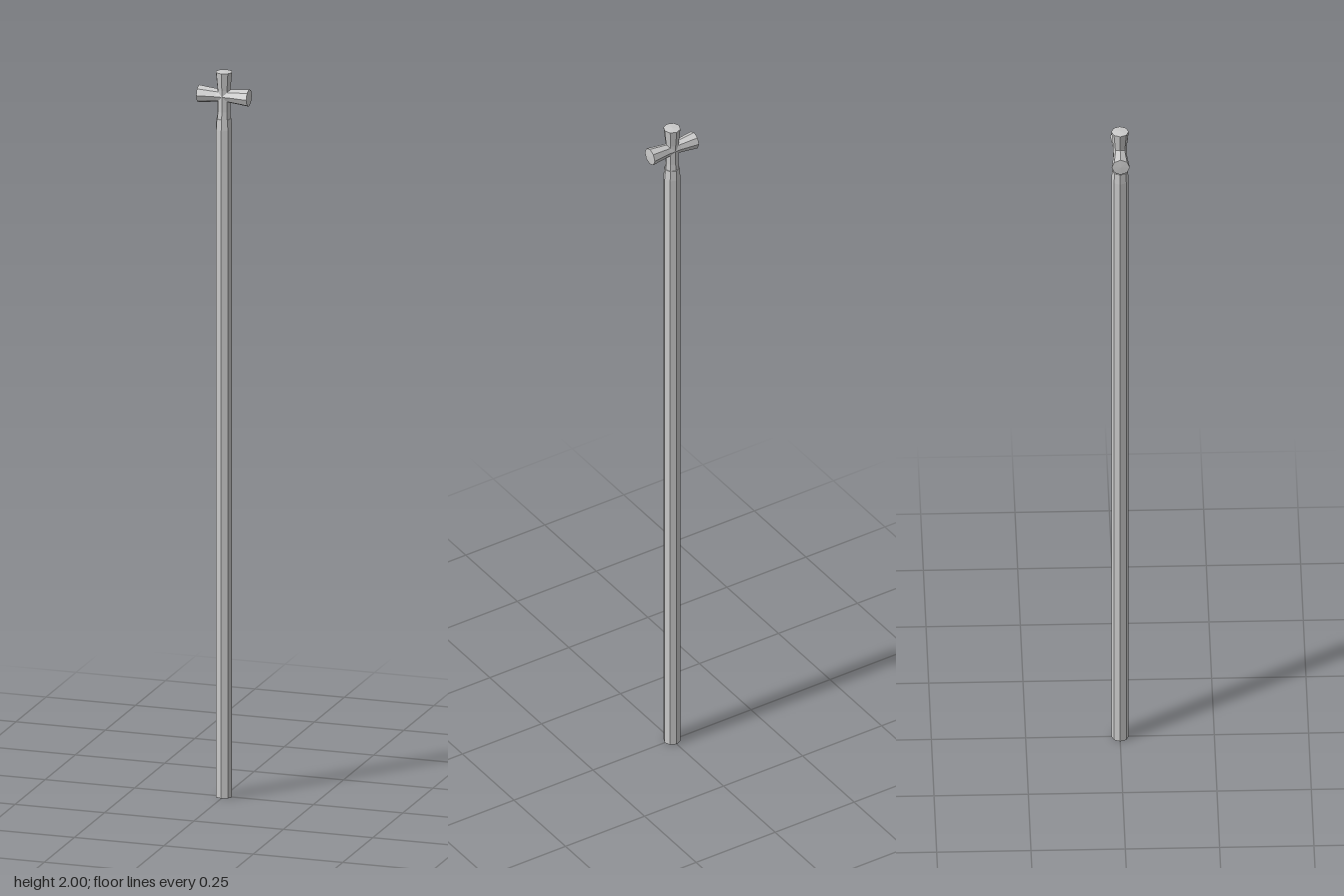
import * as THREE from 'three';

const SIDES = 8;
const material = new THREE.MeshStandardMaterial({ color: 0xcccccc, flatShading: true });

// Faceted solid turned from [radius, height] pairs, listed bottom to top
function turned(name, profile) {
  const points = profile.map(([r, y]) => new THREE.Vector2(r, y));
  const mesh = new THREE.Mesh(new THREE.LatheGeometry(points, SIDES), material);
  mesh.name = name;
  return mesh;
}

export function createModel() {
  const group = new THREE.Group();
  group.name = 'crossToppedStaff';

  // Long pole with a slightly tapered upper rim
  group.add(turned('shaft', [[0, 0], [0.023, 0], [0.023, 1.84], [0.021, 1.87], [0, 1.87]]));

  // Upright of the cross, flaring towards its top
  group.add(turned('crossUpright', [
    [0, 1.86], [0.02, 1.86], [0.018, 1.89], [0.018, 1.95], [0.023, 1.998], [0, 2],
  ]));

  // Horizontal arms, narrow at the middle and flared at both ends
  const bar = turned('crossbar', [
    [0, -0.071], [0.024, -0.07], [0.018, -0.018], [0.018, 0.018], [0.024, 0.07], [0, 0.071],
  ]);
  bar.rotation.z = Math.PI / 2;
  bar.position.y = 1.932;
  group.add(bar);

  return group;
}
